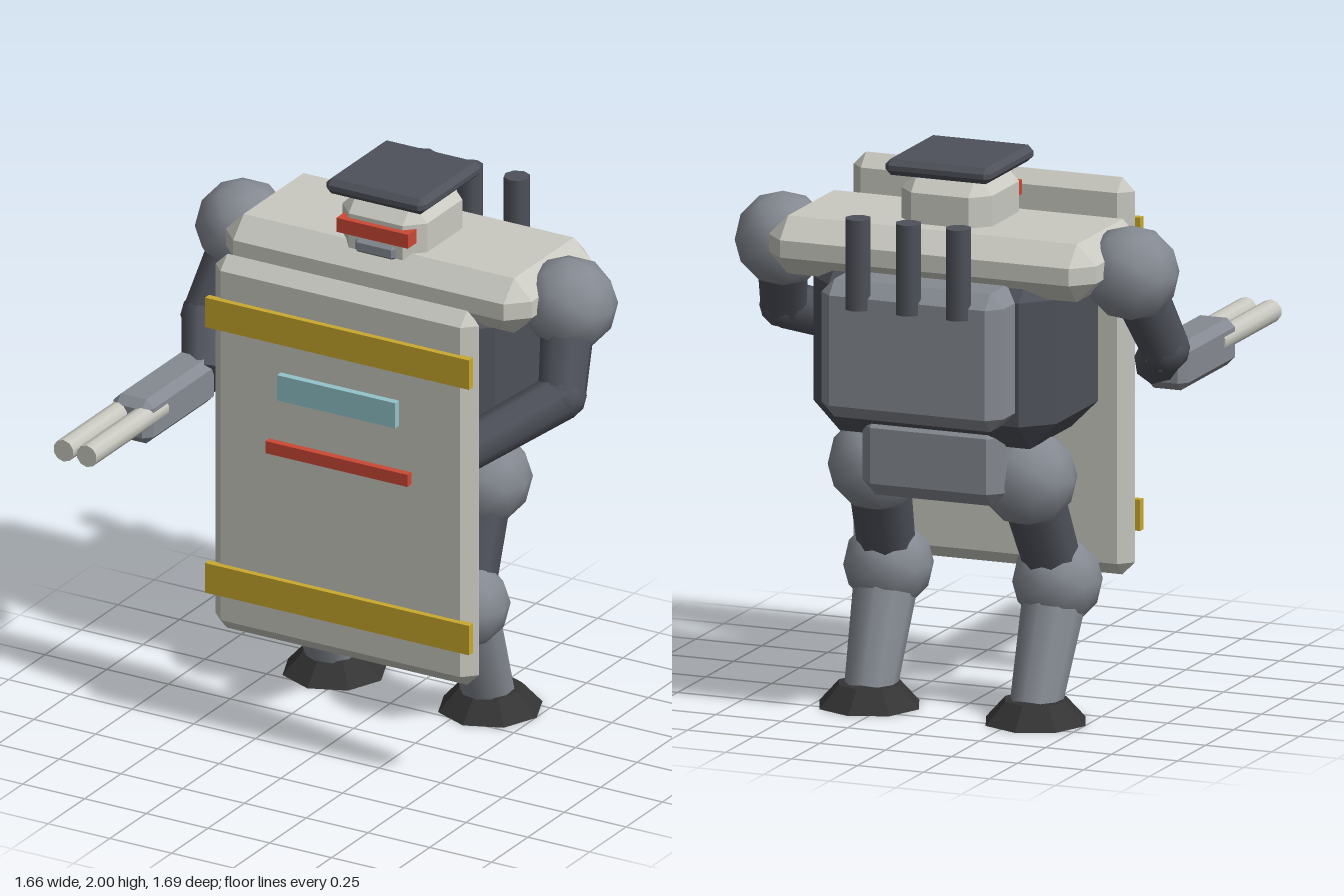
import * as THREE from 'three';
import { ConvexGeometry } from 'three/addons/geometries/ConvexGeometry.js';

const material = (name, color) => {
  const m = new THREE.MeshStandardMaterial({ color });
  m.name = name;
  return m;
};

export function createModel() {
  const model = new THREE.Group();
  model.name = 'shieldRobot';

  const light = material('paleArmour', 0xc9c9c1);
  const mid = material('midGrey', 0x858a92);
  const dark = material('darkGrey', 0x4e515a);
  const black = material('nearBlack', 0x343434);
  const yellow = material('yellow', 0xc8a92c);
  const red = material('red', 0xca4834);
  const cyan = material('paleCyan', 0x92c4ca);

  const add = (name, geometry, mat, parent = model) => {
    const mesh = new THREE.Mesh(geometry, mat);
    mesh.name = name;
    parent.add(mesh);
    return mesh;
  };

  // Box given by its ranges on each axis, with every edge chamfered by b
  const block = (name, mat, [x0, x1], [y0, y1], [z0, z1], b = 0, parent = model) => {
    const h = [(x1 - x0) / 2, (y1 - y0) / 2, (z1 - z0) / 2];
    let geometry;
    if (b === 0) {
      geometry = new THREE.BoxGeometry(h[0] * 2, h[1] * 2, h[2] * 2);
    } else {
      const points = [];
      for (const sx of [-1, 1]) for (const sy of [-1, 1]) for (const sz of [-1, 1]) {
        for (let full = 0; full < 3; full++) {
          const c = h.map((v, i) => (i === full ? v : v - b));
          points.push(new THREE.Vector3(c[0] * sx, c[1] * sy, c[2] * sz));
        }
      }
      geometry = new ConvexGeometry(points);
    }
    const mesh = add(name, geometry, mat, parent);
    mesh.position.set((x0 + x1) / 2, (y0 + y1) / 2, (z0 + z1) / 2);
    return mesh;
  };

  // Tapered cylinder running from point a to point b
  const limb = (name, mat, a, b, ra, rb, sides = 8, parent = model) => {
    const from = new THREE.Vector3(...a), to = new THREE.Vector3(...b);
    const dir = to.clone().sub(from);
    const mesh = add(name, new THREE.CylinderGeometry(rb, ra, dir.length(), sides), mat, parent);
    mesh.position.copy(from).add(to).multiplyScalar(0.5);
    mesh.quaternion.setFromUnitVectors(new THREE.Vector3(0, 1, 0), dir.normalize());
    return mesh;
  };

  const ball = (name, mat, p, r, parent = model) => {
    const mesh = add(name, new THREE.IcosahedronGeometry(r, 1), mat, parent);
    mesh.position.set(...p);
    return mesh;
  };

  // Body
  block('torso', dark, [-0.46, 0.46], [1.015, 1.66], [-0.66, -0.09], 0.1);
  block('shoulderYoke', light, [-0.62, 0.62], [1.565, 1.773], [-0.655, -0.1], 0.073);
  block('pelvis', mid, [-0.27, 0.27], [0.8, 1.1], [-0.62, -0.185], 0.05);
  block('chestPlate', yellow, [-0.24, 0.24], [1.37, 1.5], [-0.12, -0.058], 0.018);
  block('chestStripe', red, [-0.175, 0.175], [1.415, 1.46], [-0.07, -0.043]);

  // Backpack and exhausts
  block('backpack', mid, [-0.345, 0.345], [1.115, 1.61], [-0.81, -0.52], 0.05);
  for (const x of [-0.19, 0, 0.19]) {
    limb('exhaustPipe', dark, [x, 1.52, -0.797], [x, 1.846, -0.797], 0.047, 0.047);
  }

  // Head
  block('head', light, [-0.172, 0.172], [1.69, 1.945], [-0.517, -0.15], 0.063);
  block('headCap', dark, [-0.2, 0.2], [1.942, 2], [-0.55, -0.132], 0.02);
  block('visor', red, [-0.145, 0.145], [1.813, 1.866], [-0.185, -0.126]);
  block('chin', mid, [-0.085, 0.085], [1.74, 1.8], [-0.22, -0.138], 0.015);

  // Legs, mirrored
  for (const s of [1, -1]) {
    const leg = new THREE.Group();
    leg.name = s > 0 ? 'leftLeg' : 'rightLeg';
    model.add(leg);
    const hip = [s * 0.285, 0.873, -0.403], knee = [s * 0.32, 0.467, -0.22];
    ball('hipJoint', mid, hip, 0.175, leg);
    limb('thigh', dark, hip, knee, 0.112, 0.1, 8, leg);
    ball('kneeJoint', mid, knee, 0.16, leg);
    limb('shin', mid, knee, [s * 0.313, 0.05, -0.4], 0.117, 0.092, 10, leg);
    const foot = add('foot', new THREE.CylinderGeometry(0.115, 0.188, 0.08, 8).toNonIndexed(), black, leg);
    foot.geometry.computeVertexNormals();
    foot.position.set(s * 0.315, 0.04, -0.403);
  }

  // Arms, each with its own pose
  const arms = [
    ['leftArm', 0.66, [0.725, 1.355, -0.2], [0.52, 1.222, 0.12]],
    ['rightArm', -0.66, [-0.725, 1.335, -0.21], [-0.585, 1.215, 0.04]],
  ];
  for (const [name, x, elbow, hand] of arms) {
    const arm = new THREE.Group();
    arm.name = name;
    model.add(arm);
    const shoulder = [x, 1.632, -0.362];
    ball('shoulderJoint', mid, shoulder, 0.17, arm);
    limb('upperArm', dark, shoulder, elbow, 0.1, 0.086, 8, arm);
    ball('elbow', dark, elbow, 0.087, arm);
    limb('forearm', dark, elbow, hand, 0.086, 0.08, 8, arm);
  }

  // Twin-barrelled gun in the right hand
  const gun = new THREE.Group();
  gun.name = 'gun';
  model.add(gun);
  block('gunBody', mid, [-0.711, -0.549], [1.125, 1.293], [0, 0.473], 0.03, gun);
  for (const x of [-0.677, -0.583]) {
    limb('gunBarrel', light, [x, 1.228, 0.347], [x, 1.228, 0.845], 0.041, 0.041, 10, gun);
  }

  // Shield with its bands and marks
  const shield = new THREE.Group();
  shield.name = 'shield';
  model.add(shield);
  block('shieldPlate', light, [-0.42, 0.645], [0.39, 1.815], [0.187, 0.283], 0.047, shield);
  for (const y of [0.54, 1.552]) {
    block('shieldBand', yellow, [-0.422, 0.647], [y, y + 0.112], [0.278, 0.306], 0, shield);
  }
  block('viewSlit', cyan, [-0.128, 0.35], [1.34, 1.436], [0.278, 0.31], 0, shield);
  block('shieldStripe', red, [-0.175, 0.4], [1.128, 1.174], [0.278, 0.31], 0, shield);

  return model;
}
